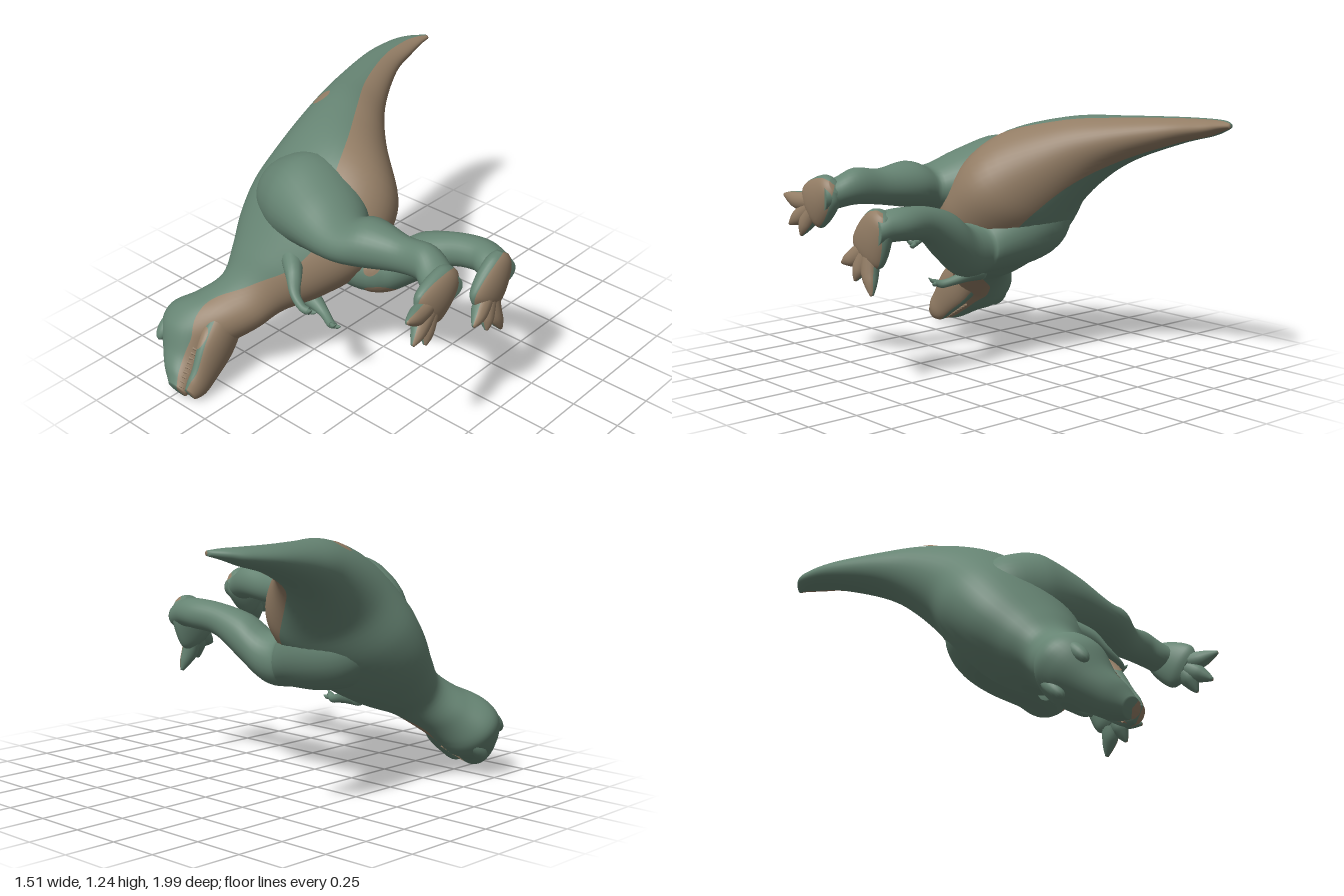
import * as THREE from 'three';

const green = new THREE.MeshStandardMaterial({ color: 0x668473 });
green.name = 'green hide';
const tan = new THREE.MeshStandardMaterial({ color: 0x937d65 });
tan.name = 'tan underside';

const X = new THREE.Vector3(1, 0, 0);
const Y = new THREE.Vector3(0, 1, 0);

// Smooth interpolation through rows of numbers
function spline(rows, steps) {
  const out = [];
  for (let i = 0; i < rows.length - 1; i++) {
    const p = [rows[Math.max(i - 1, 0)], rows[i], rows[i + 1], rows[Math.min(i + 2, rows.length - 1)]];
    for (let s = 0; s < steps; s++) {
      const t = s / steps;
      out.push(rows[0].map((_, k) => {
        const [a, b, c, d] = p.map((r) => r[k]);
        return 0.5 * (2 * b + (c - a) * t + (2 * a - 5 * b + 4 * c - d) * t * t + (3 * b - a - 3 * c + d) * t ** 3);
      }));
    }
  }
  out.push(rows[rows.length - 1].slice());
  return out;
}

// Skin over oval rings. Row: x, y, z, radius along ref, radius across, half-angle of the tan strip around ref
function loft(name, rows, ref, { steps = 5, strip = 10, rest = 22 } = {}) {
  const rings = spline(rows, steps);
  const closed = (r) => [r[0], r[1], r[2], 0, 0, r[5]];
  rings.unshift(closed(rings[0]));
  rings.push(closed(rings[rings.length - 1]));
  const n = rings.length, m = strip + rest;
  const at = (i) => new THREE.Vector3().fromArray(rings[Math.min(Math.max(i, 0), n - 1)]);
  const pos = [], tanFaces = [], greenFaces = [];
  rings.forEach((r, i) => {
    const side = at(i + 2).sub(at(i - 2)).cross(ref).normalize();
    for (let j = 0; j < m; j++) {
      const a = j < strip
        ? -r[5] + (2 * r[5] * j) / strip
        : r[5] + ((2 * Math.PI - 2 * r[5]) * (j - strip)) / rest;
      const v = at(i).addScaledVector(ref, Math.cos(a) * r[3]).addScaledVector(side, Math.sin(a) * r[4]);
      pos.push(v.x, v.y, v.z);
      if (i === n - 1) continue;
      const k = (j + 1) % m, p = i * m, q = p + m;
      (j < strip ? tanFaces : greenFaces).push(p + j, p + k, q + k, p + j, q + k, q + j);
    }
  });
  const g = new THREE.BufferGeometry();
  g.setAttribute('position', new THREE.Float32BufferAttribute(pos, 3));
  g.setIndex([...tanFaces, ...greenFaces]);
  g.addGroup(0, tanFaces.length, 0);
  g.addGroup(tanFaces.length, greenFaces.length, 1);
  g.computeVertexNormals();
  const mesh = new THREE.Mesh(g, [tan, green]);
  mesh.name = name;
  return mesh;
}

// Limb in plain green
function plainLoft(name, rows, ref, options) {
  const mesh = loft(name, rows.map((r) => [...r, 1]), ref, options);
  mesh.geometry.clearGroups();
  mesh.material = green;
  return mesh;
}

// Oval tan marking laid onto a skin, projected from the front or from above
function marking(target, x, v, rx, rv, fromAbove) {
  const g = new THREE.RingGeometry(0.001, 1, 20, 4).scale(rx, rv, 1).translate(x, v, 2);
  if (fromAbove) g.rotateX(-Math.PI / 2);
  const dir = fromAbove ? new THREE.Vector3(0, -1, 0) : new THREE.Vector3(0, 0, -1);
  const p = new THREE.Vector3(), pos = g.attributes.position;
  for (let i = 0; i < pos.count; i++) {
    p.fromBufferAttribute(pos, i);
    const hit = new THREE.Raycaster(p, dir).intersectObject(target)[0];
    if (hit) p.copy(hit.point).addScaledVector(dir, -0.005);
    else p.addScaledVector(dir, 2);
    pos.setXYZ(i, p.x, p.y, p.z);
  }
  g.computeVertexNormals();
  const mesh = new THREE.Mesh(g, tan);
  mesh.name = 'hideMarking';
  return mesh;
}

// Foot with a tan sole facing +x and three clawed toes
function foot(name, heel, ball, tips) {
  const g = new THREE.Group();
  g.name = name;
  const mix = (a, b, t) => a.map((v, i) => v + (b[i] - v) * t);
  g.add(loft('footPad', [
    [...mix(heel, ball, -0.1), 0.025, 0.035, 0.8],
    [...mix(heel, ball, 0.1), 0.05, 0.08, 0.95],
    [...mix(heel, ball, 0.55), 0.06, 0.11, 1.15],
    [...ball, 0.052, 0.118, 1.25],
    [...mix(heel, ball, 1.22), 0.028, 0.085, 1.3],
  ], X));
  tips.forEach((tip) => g.add(loft('toe', [
    [...mix(heel, ball, 0.75), 0.04, 0.045, 1.25],
    [...mix(ball, tip, 0.45), 0.042, 0.046, 1.25],
    [...mix(ball, tip, 0.75), 0.03, 0.032, 1.25],
    [...tip, 0.009, 0.009, 1.25],
  ], X, { steps: 4, strip: 6, rest: 8 })));
  return g;
}

function arm(name, path) {
  const g = new THREE.Group();
  g.name = name;
  const radii = [0.06, 0.04, 0.025, 0.021, 0.018];
  g.add(plainLoft('foreLimb', path.map((p, i) => [...p, radii[i], radii[i]]), Y, { strip: 5, rest: 9 }));
  // two small fingers
  const [x, y, z] = path[path.length - 1];
  [-1, 1].forEach((s) => g.add(plainLoft('finger', [
    [x - 0.015, y, z, 0.014, 0.014],
    [x + 0.012, y + 0.008 * s, z + 0.012 * s, 0.011, 0.011],
    [x + 0.03, y + 0.012 + 0.014 * s, z + 0.015 * s, 0.003, 0.003],
  ], Y, { steps: 3, strip: 4, rest: 5 })));
  return g;
}

export function createModel() {
  const model = new THREE.Group();
  model.name = 'lyingDinosaur';

  // Tail, trunk, neck and skull in one skin
  const body = loft('body', [
    [-0.57, 1.222, -0.995, 0.014, 0.012, 1.3],
    [-0.60, 1.215, -0.93, 0.05, 0.026, 1.3],
    [-0.615, 1.2, -0.84, 0.08, 0.042, 1.3],
    [-0.597, 1.175, -0.66, 0.11, 0.065, 1.25],
    [-0.505, 1.122, -0.4, 0.165, 0.114, 1.2],
    [-0.40, 1.055, -0.2, 0.235, 0.18, 1.1],
    [-0.28, 0.935, 0, 0.35, 0.25, 1.15],
    [-0.275, 0.78, 0.15, 0.395, 0.265, 1.05],
    [-0.29, 0.64, 0.28, 0.37, 0.24, 0.9],
    [-0.33, 0.52, 0.41, 0.275, 0.195, 0.9],
    [-0.385, 0.43, 0.52, 0.19, 0.145, 1.2],
    [-0.46, 0.35, 0.62, 0.195, 0.135, 1.55],
    [-0.55, 0.28, 0.71, 0.2, 0.15, 1.25],
    [-0.575, 0.21, 0.775, 0.165, 0.15, 0.9],
    [-0.55, 0.135, 0.85, 0.125, 0.105, 1.0],
    [-0.51, 0.075, 0.92, 0.09, 0.08, 1.1],
    [-0.475, 0.045, 0.97, 0.055, 0.045, 1.2],
  ], X, { steps: 6, strip: 18, rest: 30 });
  model.add(body, marking(body, -0.52, 0.13, 0.033, 0.05, true));

  // Lower jaw with a tan mouth corner
  const jaw = loft('lowerJaw', [
    [-0.43, 0.32, 0.67, 0.08, 0.11, 1.3],
    [-0.405, 0.22, 0.77, 0.06, 0.115, 1.2],
    [-0.395, 0.12, 0.86, 0.045, 0.085, 1.15],
    [-0.395, 0.07, 0.915, 0.042, 0.068, 1.4],
    [-0.4, 0.045, 0.955, 0.03, 0.04, 1.6],
  ], X);
  model.add(jaw, marking(jaw, -0.42, 0.31, 0.03, 0.045, false));

  // Brow ridges and teeth, mirrored across the head
  const across = new THREE.Vector3(0, 0.707, 0.707);
  const toothShape = new THREE.ConeGeometry(0.008, 0.035, 6).rotateZ(-Math.PI / 2);
  [1, -1].forEach((s) => {
    const brow = new THREE.Mesh(new THREE.SphereGeometry(1, 16, 12), green);
    brow.name = 'browRidge';
    brow.scale.set(0.036, 0.034, 0.075);
    brow.rotation.x = Math.PI / 4;
    brow.position.set(-0.675, 0.2, 0.78).addScaledVector(across, s * 0.09);
    model.add(brow);
    for (let i = 0; i < 9; i++) {
      const t = i / 8;
      const tooth = new THREE.Mesh(toothShape, tan);
      tooth.name = 'tooth';
      tooth.position.set(-0.435, 0.18 - 0.13 * t, 0.8 + 0.14 * t)
        .addScaledVector(across, s * (0.095 - 0.045 * t));
      model.add(tooth);
    }
  });

  // Legs, thighs fading into the hips
  const rightLeg = plainLoft('rightLeg', [
    [-0.58, 0.72, 0.09, 0.04, 0.04],
    [-0.44, 0.7, 0.085, 0.17, 0.17],
    [-0.25, 0.675, 0.08, 0.205, 0.21],
    [0, 0.6, 0.115, 0.15, 0.175],
    [0.13, 0.585, 0.07, 0.13, 0.13],
    [0.26, 0.67, 0.035, 0.125, 0.115],
    [0.42, 0.755, -0.01, 0.085, 0.08],
    [0.56, 0.775, -0.035, 0.078, 0.08],
    [0.65, 0.77, -0.015, 0.075, 0.085],
    [0.71, 0.75, 0.0, 0.07, 0.085],
  ], Y);
  model.add(rightLeg,
    marking(rightLeg, 0.125, 0.65, 0.032, 0.05, false),
    marking(rightLeg, 0.14, 0.505, 0.055, 0.03, false));
  model.add(plainLoft('leftLeg', [
    [-0.6, 0.84, 0.17, 0.04, 0.04],
    [-0.45, 0.85, 0.2, 0.18, 0.18],
    [-0.26, 0.875, 0.235, 0.235, 0.235],
    [-0.06, 0.88, 0.32, 0.165, 0.2],
    [0.1, 0.865, 0.375, 0.108, 0.147],
    [0.24, 0.89, 0.36, 0.115, 0.13],
    [0.42, 0.895, 0.345, 0.088, 0.08],
    [0.56, 0.91, 0.35, 0.088, 0.078],
    [0.65, 0.88, 0.385, 0.075, 0.085],
    [0.71, 0.865, 0.41, 0.07, 0.09],
  ], Y));
  model.add(foot('leftFoot', [0.69, 0.915, 0.345], [0.692, 0.81, 0.5],
    [[0.735, 0.85, 0.69], [0.735, 0.71, 0.65], [0.73, 0.665, 0.56]]));
  model.add(foot('rightFoot', [0.685, 0.82, -0.03], [0.685, 0.65, 0.075],
    [[0.73, 0.58, 0.22], [0.73, 0.51, 0.12], [0.725, 0.455, 0.0]]));

  // Small arms
  model.add(arm('leftArm', [
    [-0.2, 0.69, 0.43], [-0.1, 0.65, 0.52], [-0.05, 0.585, 0.565], [0.01, 0.545, 0.58], [0.045, 0.535, 0.57],
  ]));
  model.add(arm('rightArm', [
    [-0.22, 0.41, 0.34], [-0.13, 0.39, 0.345], [-0.06, 0.365, 0.36], [0, 0.35, 0.385], [0.035, 0.36, 0.4],
  ]));

  return model;
}
